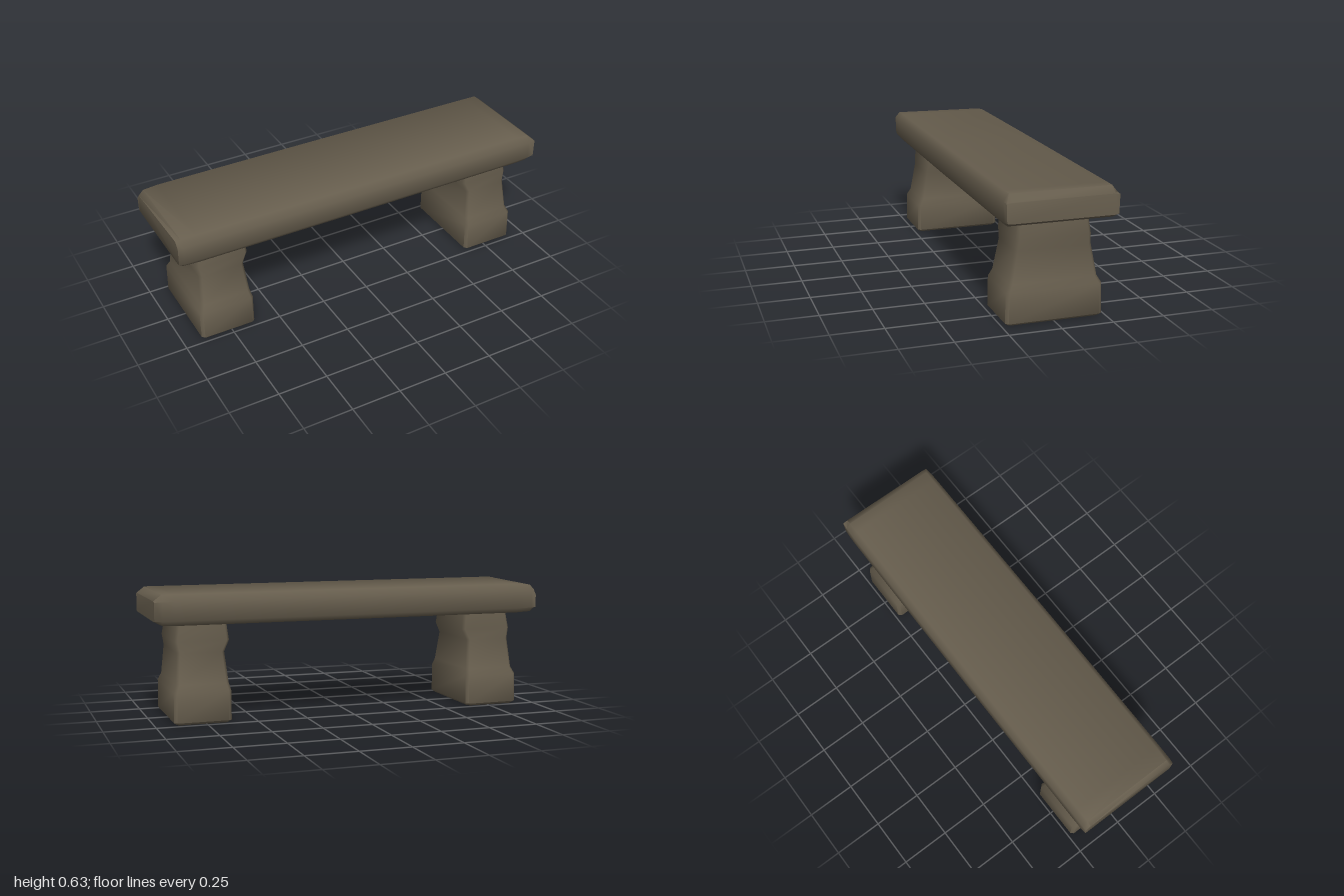
import * as THREE from 'three';
import { toCreasedNormals } from 'three/addons/utils/BufferGeometryUtils.js';

// Skin a list of equal-length rings; optionally cap both ends.
function loft(rings, caps, crease) {
  const pos = [];
  const n = rings[0].length;
  const tri = (a, b, c) => pos.push(...a, ...b, ...c);
  for (let r = 0; r < rings.length - 1; r++) {
    const a = rings[r], b = rings[r + 1];
    for (let i = 0; i < n; i++) {
      const j = (i + 1) % n;
      tri(a[i], a[j], b[j]);
      tri(a[i], b[j], b[i]);
    }
  }
  if (caps) {
    const first = rings[0], last = rings[rings.length - 1];
    for (let i = 1; i < n - 1; i++) {
      tri(first[0], first[i + 1], first[i]);
      tri(last[0], last[i], last[i + 1]);
    }
  }
  const g = new THREE.BufferGeometry();
  g.setAttribute('position', new THREE.Float32BufferAttribute(pos, 3));
  return toCreasedNormals(g, crease);
}

// Seat cross-section at x: chamfered slab with top and bottom drawn in at the ends.
function seatRing(x, topDrop, bottomRise, inset, chip = 0) {
  const top = 0.636 - topDrop, bottom = 0.487 + bottomRise;
  const edge = 0.27 - inset;
  return [
    [x, top - chip, -edge + 0.026],
    [x, top, edge - 0.026],
    [x, Math.min(0.603, top - 0.004), edge],
    [x, Math.max(0.511, bottom + 0.004), edge - 0.003],
    [x, bottom, edge - 0.021],
    [x, bottom, -edge + 0.021],
    [x, Math.max(0.511, bottom + 0.004), -edge + 0.003],
    [x, Math.min(0.603, top - 0.004) - chip, -edge],
  ];
}

// Leg cross-section at height y: rectangle with clipped corners.
function legRing([y, inner, outer, z]) {
  const c = 0.014;
  return [
    [outer - c, y, z], [outer, y, z - c],
    [outer, y, -z + c], [outer - c, y, -z],
    [inner + c, y, -z], [inner, y, -z + c],
    [inner, y, z - c], [inner + c, y, z],
  ];
}

export function createModel() {
  const group = new THREE.Group();
  const stone = new THREE.MeshStandardMaterial({ color: 0x665d4d, side: THREE.DoubleSide });
  stone.name = 'weathered stone';

  // Seat slab: worn right end, squarer left end with a chipped back corner
  const seat = new THREE.Mesh(loft([
    seatRing(-1, 0.004, 0.022, 0.006, 0.025),
    seatRing(-0.975, 0, 0.004, 0.003, 0.006),
    seatRing(-0.9, 0, 0, 0.002),
    seatRing(-0.1, 0, 0, 0),
    seatRing(0.9, 0, 0, 0.002),
    seatRing(0.962, 0, 0.003, 0.003),
    seatRing(1, 0.03, 0.022, 0.006),
  ], true, 0.95), stone);
  seat.name = 'seat';
  group.add(seat);

  // Flared legs, open underneath: height, inner x, outer x, half depth
  const profile = [
    [0.003, 0.64, 0.895, 0.222],
    [0.015, 0.626, 0.909, 0.234],
    [0.16, 0.626, 0.908, 0.231],
    [0.195, 0.634, 0.893, 0.212],
    [0.345, 0.648, 0.882, 0.185],
    [0.4, 0.622, 0.892, 0.18],
    [0.5, 0.634, 0.876, 0.168],
  ];
  const legGeometry = loft(profile.map(legRing), false, 1);
  ['leftLeg', 'rightLeg'].forEach((name, i) => {
    const leg = new THREE.Mesh(legGeometry, stone);
    leg.name = name;
    leg.rotation.y = i * Math.PI;
    group.add(leg);
  });

  return group;
}
